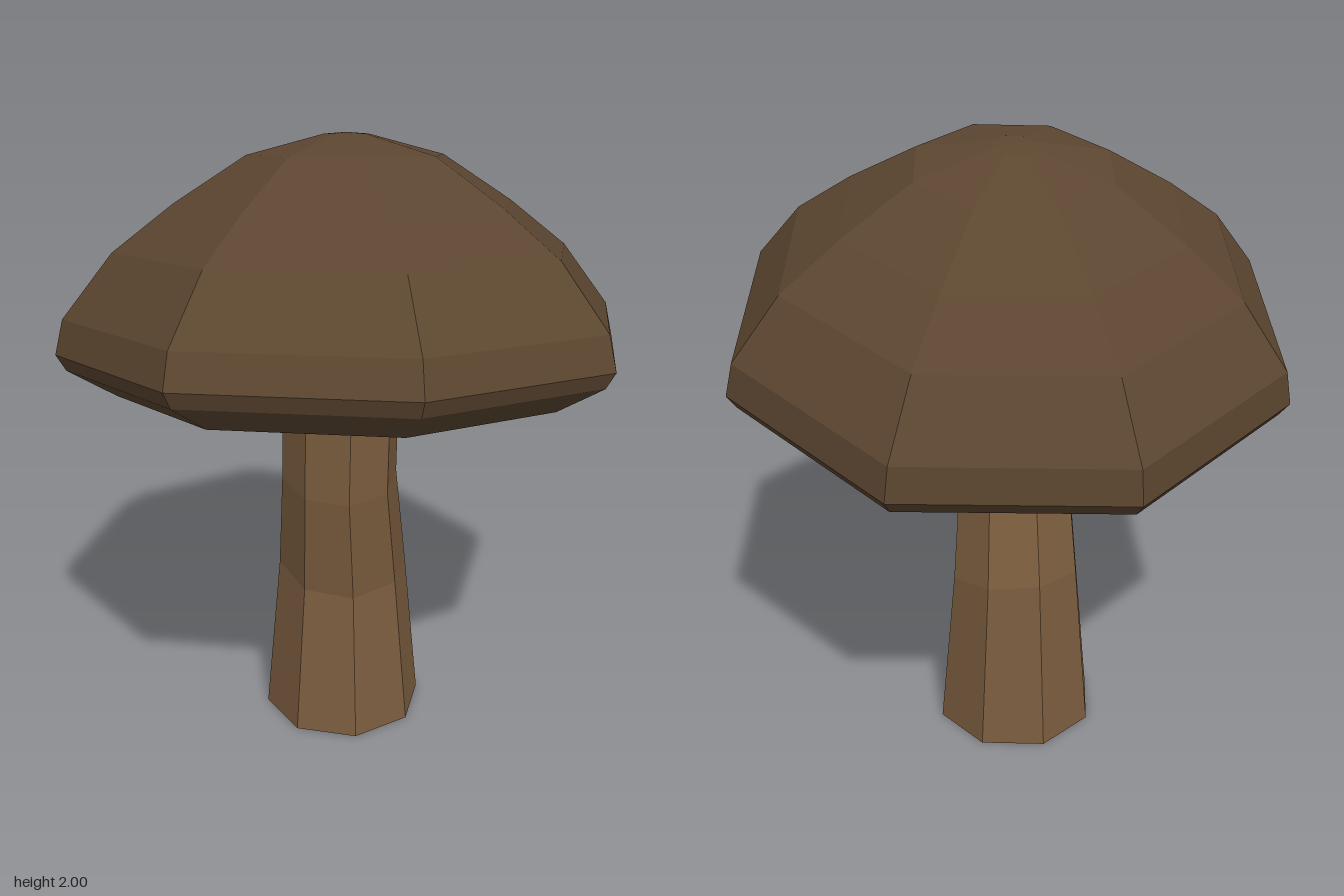
import * as THREE from 'three';

const SIDES = 8;

// Bent stem: a cylinder whose rings are resized, shifted and tilted
function makeStem(material) {
  const rings = [ // y, radius, centre x, centre z, slope along z
    { y: 0, r: 0.27, x: 0, z: -0.073, slope: 0 },
    { y: 0.555, r: 0.217, x: 0, z: -0.075, slope: -0.2 },
    { y: 0.9, r: 0.19, x: -0.02, z: -0.01, slope: -0.15 },
    { y: 1.46, r: 0.188, x: -0.01, z: -0.003, slope: 0.1 },
  ];
  const last = rings.length - 1;
  const geometry = new THREE.CylinderGeometry(1, 1, 1, SIDES, last);
  const pos = geometry.attributes.position;
  for (let i = 0; i < pos.count; i++) {
    const ring = rings[Math.round((pos.getY(i) + 0.5) * last)];
    const dx = pos.getX(i) * ring.r;
    const dz = pos.getZ(i) * ring.r;
    pos.setXYZ(i, ring.x + dx, ring.y + dz * ring.slope, ring.z + dz);
  }
  geometry.computeVertexNormals();
  const stem = new THREE.Mesh(geometry, material);
  stem.name = 'stem';
  return stem;
}

// Cap: hollow underside, rolled rim and dome, turned as one faceted profile
function makeCap(material) {
  const profile = [
    [0, 0.1], [0.72, -0.13], [0.867, -0.046], [0.897, 0.003], [0.872, 0.11],
    [0.718, 0.305], [0.533, 0.446], [0.309, 0.588], [0.07, 0.65], [0, 0.655],
  ].map(([r, h]) => new THREE.Vector2(r, h));
  const cap = new THREE.Mesh(new THREE.LatheGeometry(profile, SIDES, 0.056), material);
  cap.name = 'cap';
  // lean towards the back
  cap.position.y = 1.35;
  cap.quaternion.setFromUnitVectors(
    new THREE.Vector3(0, 1, 0),
    new THREE.Vector3(0.03, 1, -0.17).normalize()
  );
  return cap;
}

export function createModel() {
  const group = new THREE.Group();
  group.name = 'mushroom';
  const stemMaterial = new THREE.MeshStandardMaterial({ color: 0x7a5c3e, flatShading: true });
  const capMaterial = new THREE.MeshStandardMaterial({ color: 0x5c4630, flatShading: true });
  group.add(makeStem(stemMaterial), makeCap(capMaterial));
  return group;
}
